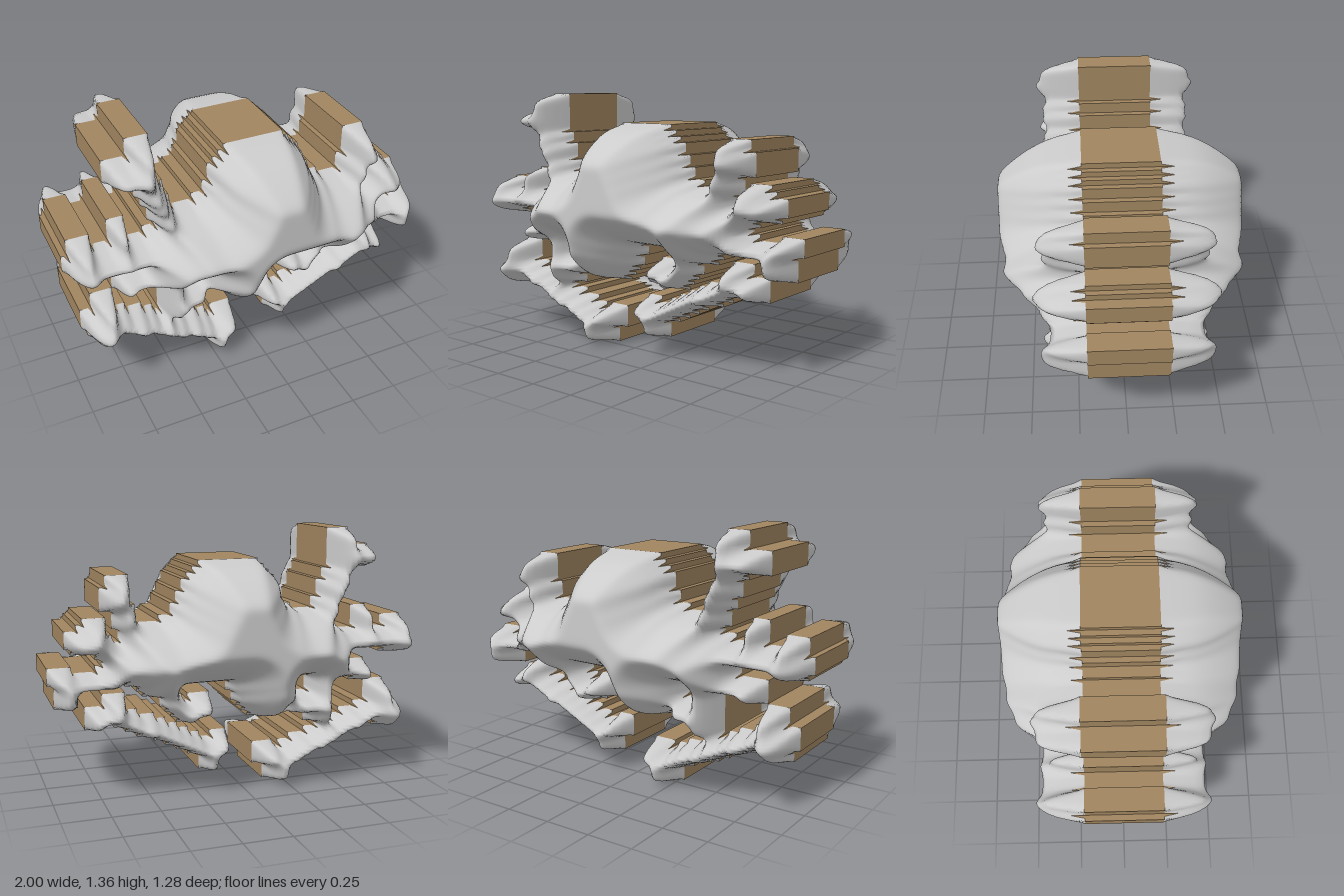
import * as THREE from 'three';

const COLS = 66, ROWS = 45, CELL = 2 / COLS, SUB = 2;   // stepped outline grid
const BASE = 0.2, NOTCH = 0.07;                         // half wall depth, extra depth in inner corners
const RISE = 0.44, REACH = 0.19;                        // swelling, slope width
const LOBE = 0.058;                                     // half size of a bone-end lobe

// Skull-like body: domed head, jaw and shoulders
const BODY = new THREE.Shape()
  .moveTo(0.15, 1.225)
  .bezierCurveTo(0.27, 1.17, 0.34, 1.06, 0.38, 0.93)
  .lineTo(0.55, 0.91).lineTo(0.68, 0.8).lineTo(0.74, 0.7).lineTo(0.7, 0.62).lineTo(0.58, 0.58)
  .lineTo(0.47, 0.51).lineTo(0.38, 0.5).lineTo(0.31, 0.57).lineTo(0.06, 0.57).lineTo(0.02, 0.45)
  .lineTo(-0.07, 0.375).lineTo(-0.22, 0.375).lineTo(-0.29, 0.44).lineTo(-0.29, 0.56).lineTo(-0.5, 0.57)
  .lineTo(-0.6, 0.64).lineTo(-0.62, 0.82).lineTo(-0.43, 0.87).lineTo(-0.36, 0.95).lineTo(-0.24, 0.96)
  .bezierCurveTo(-0.22, 1.1, -0.17, 1.19, -0.09, 1.225)
  .getPoints(8);

// A bone is a round shaft with squarish lobes at its ends
const bone = (x1, y1, x2, y2, radius, ...lobes) => ({
  shaft: new THREE.Line3(new THREE.Vector3(x1, y1, 0), new THREE.Vector3(x2, y2, 0)), radius, lobes,
});

const BONES = [
  // Model's right side, top to bottom
  bone(-0.44, 0.84, -0.595, 1.22, 0.065, [-0.71, 1.21], [-0.64, 1.2], [-0.575, 1.31]),
  bone(-0.55, 0.755, -0.93, 0.75, 0.058, [-0.915, 0.83], [-0.948, 0.745], [-0.91, 0.71], [-0.71, 0.88]),
  bone(-0.45, 0.61, -0.68, 0.59, 0.05, [-0.71, 0.58], [-0.665, 0.59]),
  bone(-0.47, 0.6, -0.46, 0.4, 0.06, [-0.45, 0.365], [-0.34, 0.415]),
  // Model's left side, top to bottom
  bone(0.58, 0.85, 0.64, 1.06, 0.06, [0.645, 1.1], [0.67, 1.04]),
  bone(0.65, 0.74, 0.8, 0.85, 0.065, [0.75, 0.89], [0.84, 0.82]),
  bone(0.65, 0.64, 0.93, 0.62, 0.05, [0.948, 0.65], [0.91, 0.55]),
  bone(0.41, 0.56, 0.31, 0.42, 0.055, [0.21, 0.46], [0.29, 0.415]),
  // Two loose bones crossing below
  bone(-0.82, 0.37, -0.2, 0.12, 0.058, [-0.82, 0.46], [-0.875, 0.36], [-0.86, 0.31], [-0.2, 0.055], [-0.15, 0.155]),
  bone(0.16, 0.2, 0.7, 0.46, 0.055, [0.115, 0.24], [0.165, 0.16], [0.67, 0.49], [0.77, 0.425]),
];

function inBody(x, y) {
  let inside = false;
  BODY.forEach((a, i) => {
    const b = BODY[(i + 1) % BODY.length];
    if ((a.y > y) !== (b.y > y) && x < ((b.x - a.x) * (y - a.y)) / (b.y - a.y) + a.x) inside = !inside;
  });
  return inside;
}

function inBone(x, y, { shaft, radius, lobes }) {
  const p = new THREE.Vector3(x, y, 0);
  if (shaft.closestPointToPoint(p, true, new THREE.Vector3()).distanceTo(p) < radius) return true;
  return lobes.some(([cx, cy]) => {
    const dx = Math.abs(x - cx), dy = Math.abs(y - cy);
    return Math.max(dx, dy) < LOBE && dx + dy < LOBE * 1.7;
  });
}

// Which grid cells the silhouette fills
function makeMask() {
  const mask = [];
  for (let j = 0; j < ROWS; j++) {
    for (let i = 0; i < COLS; i++) {
      const x = -1 + (i + 0.5) * CELL, y = (j + 0.5) * CELL;
      mask.push(inBody(x, y) || BONES.some(b => inBone(x, y, b)));
    }
  }
  return (i, j) => i >= 0 && j >= 0 && i < COLS && j < ROWS && mask[j * COLS + i];
}

function geometry(positions, index) {
  const g = new THREE.BufferGeometry();
  g.setAttribute('position', new THREE.Float32BufferAttribute(positions, 3));
  if (index) g.setIndex(index);
  g.computeVertexNormals();
  return g;
}

export function createModel() {
  const filled = makeMask();
  const W = COLS * SUB, H = ROWS * SUB, step = CELL / SUB, row = W + 1;
  const fine = (i, j) => filled(Math.floor(i / SUB), Math.floor(j / SUB));

  // Sort lattice corners into rim and interior; the rim bulges in inner corners
  const rim = [], interior = [], height = new Float32Array(row * (H + 1)).fill(BASE);
  for (let j = 0; j <= H; j++) {
    for (let i = 0; i <= W; i++) {
      const n = [fine(i, j), fine(i - 1, j), fine(i, j - 1), fine(i - 1, j - 1)].filter(Boolean).length;
      if (n === 4) interior.push([i, j]);
      else if (n) rim.push([i, j]);
      if (n === 3) height[j * row + i] += NOTCH;
    }
  }

  // Swell the interior by its distance to the rim, then relax it
  for (const [i, j] of interior) {
    let d2 = Infinity;
    for (const [a, b] of rim) d2 = Math.min(d2, (a - i) ** 2 + (b - j) ** 2);
    height[j * row + i] = BASE + RISE * Math.sqrt(Math.min(1, (Math.sqrt(d2) * step) / REACH));
  }
  for (let pass = 0; pass < 5; pass++) {
    const old = height.slice();
    for (const [i, j] of interior) {
      const k = j * row + i;
      height[k] = old[k] * 0.4 + (old[k - 1] + old[k + 1] + old[k - row] + old[k + row]) * 0.15;
    }
  }

  // One swollen face: sign +1 is the front, -1 the back
  const makeFace = sign => {
    const ids = new Map(), positions = [], index = [];
    const corner = (i, j) => {
      const k = j * row + i;
      if (!ids.has(k)) {
        ids.set(k, ids.size);
        positions.push(-1 + i * step, j * step, sign * height[k]);
      }
      return ids.get(k);
    };
    for (let j = 0; j < H; j++) {
      for (let i = 0; i < W; i++) {
        if (!fine(i, j)) continue;
        const a = corner(i, j), b = corner(i + 1, j), c = corner(i + 1, j + 1), d = corner(i, j + 1);
        if (sign > 0) index.push(a, b, c, a, c, d);
        else index.push(a, c, b, a, d, c);
      }
    }
    return geometry(positions, index);
  };

  // Stepped wall joining both faces
  const wall = [];
  const addWall = (i0, j0, i1, j1) => {
    const ax = -1 + i0 * step, ay = j0 * step, az = height[j0 * row + i0];
    const bx = -1 + i1 * step, by = j1 * step, bz = height[j1 * row + i1];
    wall.push(ax, ay, az, ax, ay, -az, bx, by, -bz, ax, ay, az, bx, by, -bz, bx, by, bz);
  };
  for (let j = 0; j < H; j++) {
    for (let i = 0; i < W; i++) {
      if (!fine(i, j)) continue;
      if (!fine(i, j - 1)) addWall(i, j, i + 1, j);
      if (!fine(i + 1, j)) addWall(i + 1, j, i + 1, j + 1);
      if (!fine(i, j + 1)) addWall(i + 1, j + 1, i, j + 1);
      if (!fine(i - 1, j)) addWall(i, j + 1, i, j);
    }
  }

  const grey = new THREE.MeshStandardMaterial({ color: 0xcccccc });
  const brown = new THREE.MeshStandardMaterial({ color: 0xa08560 });
  const group = new THREE.Group();
  const add = (name, geo, material) => {
    const mesh = new THREE.Mesh(geo, material);
    mesh.name = name;
    group.add(mesh);
  };
  add('frontFace', makeFace(1), grey);
  add('backFace', makeFace(-1), grey);
  add('outlineWall', geometry(wall), brown);
  return group;
}
